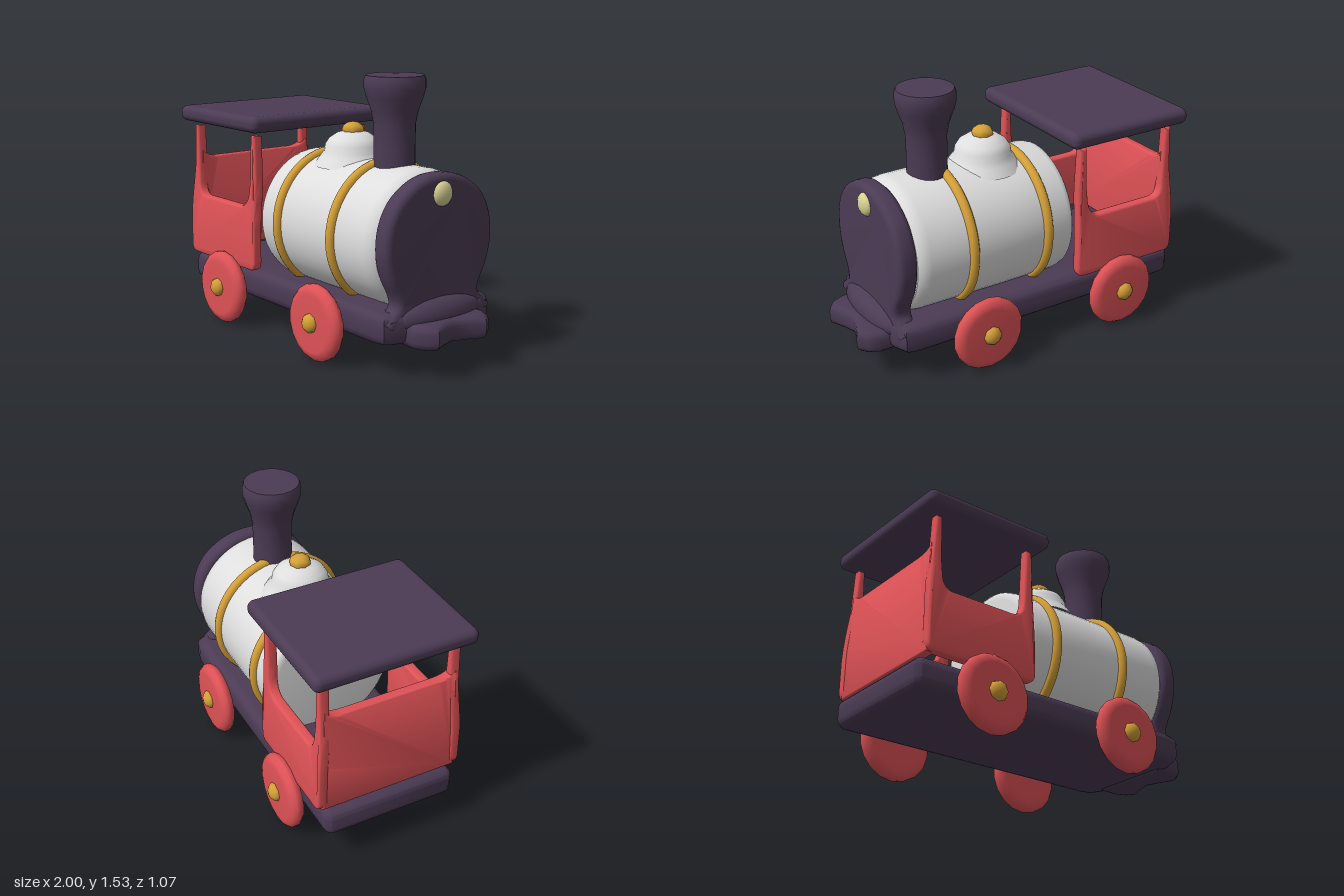
import * as THREE from 'three';
import { toCreasedNormals } from 'three/addons/utils/BufferGeometryUtils.js';
import { RoundedBoxGeometry } from 'three/addons/geometries/RoundedBoxGeometry.js';

const paint = (name, color) => {
  const m = new THREE.MeshStandardMaterial({ color });
  m.name = name;
  return m;
};

// Bevelled slab, centred on z = 0
function slab(shape, depth, bevel) {
  const g = new THREE.ExtrudeGeometry(shape, {
    depth: depth - 2 * bevel, bevelThickness: bevel, bevelSize: bevel,
    bevelOffset: -bevel, bevelSegments: 3, curveSegments: 8,
  });
  g.translate(0, 0, bevel - depth / 2);
  return g;
}

const polygon = (pts) => new THREE.Shape(pts.map(([x, y]) => new THREE.Vector2(x, y)));
const lathe = (pts, sides) =>
  new THREE.LatheGeometry(pts.map(([r, y]) => new THREE.Vector2(r, y)), sides);

export function createModel() {
  const train = new THREE.Group();
  train.name = 'toyTrain';
  const purple = paint('darkPurple', 0x4b3b54);
  const red = paint('red', 0xdf5256);
  const white = paint('white', 0xdedede);
  const gold = paint('gold', 0xd5a038);
  const cream = paint('paleYellow', 0xd8d094);

  const add = (name, geometry, material, x = 0, y = 0, z = 0) => {
    const mesh = new THREE.Mesh(geometry, material);
    mesh.name = name;
    mesh.position.set(x, y, z);
    train.add(mesh);
    return mesh;
  };

  // Base with clipped front corners
  const base = slab(polygon([[-0.99, -0.36], [-0.96, -0.39], [0.72, -0.39], [0.8, -0.37], [0.84, -0.28],
    [0.84, 0.28], [0.8, 0.37], [0.72, 0.39], [-0.96, 0.39], [-0.99, 0.36]]), 0.17, 0.05);
  base.rotateX(-Math.PI / 2);
  add('base', toCreasedNormals(base, 0.8), purple, 0, 0.265, 0);

  // Two-pointed bumper and the swelling that joins it to the front plate
  const bumper = slab(polygon([[0.76, -0.25], [0.89, -0.255], [0.96, -0.225], [1.0, -0.17], [0.96, -0.08],
    [0.935, 0], [0.96, 0.08], [1.0, 0.17], [0.96, 0.225], [0.89, 0.255], [0.76, 0.25]]), 0.13, 0.04);
  bumper.rotateX(-Math.PI / 2);
  add('bumper', toCreasedNormals(bumper, 0.8), purple, 0, 0.23, 0);
  const swelling = new THREE.SphereGeometry(1, 20, 12);
  swelling.scale(0.1, 0.1, 0.3);
  add('bumperRoot', swelling, purple, 0.8, 0.3, 0);

  // Front plate: round above, waisted, flaring into the base
  const half = [[0.37, 0.3], [0.335, 0.33], [0.29, 0.375], [0.295, 0.43], [0.345, 0.53], [0.376, 0.66],
    [0.362, 0.8], [0.3, 0.92], [0.2, 1.0], [0.1, 1.04]];
  const outline = [...half, [0, 1.05], ...half.map(([z, y]) => [-z, y]).reverse()];
  const plateShape = new THREE.Shape();
  plateShape.moveTo(...outline[0]);
  plateShape.splineThru(outline.slice(1).map(([z, y]) => new THREE.Vector2(z, y)));
  const plate = slab(plateShape, 0.115, 0.035);
  plate.rotateY(Math.PI / 2);
  add('frontPlate', toCreasedNormals(plate, 0.8), purple, 0.77, 0, 0);

  // Boiler, closed at both ends
  const boiler = lathe([[0, -0.285], [0.335, -0.285], [0.36, -0.282], [0.378, -0.268], [0.385, -0.24],
    [0.388, 0.1], [0.385, 0.64], [0.378, 0.685], [0.355, 0.71], [0, 0.715]], 48);
  boiler.rotateZ(-Math.PI / 2);
  add('boiler', toCreasedNormals(boiler, 0.7), white, 0, 0.67, 0);

  // Gold bands
  for (const x of [-0.1, 0.38]) {
    const band = new THREE.TorusGeometry(0.387, 0.029, 10, 48);
    band.rotateY(Math.PI / 2);
    add('boilerBand', band, gold, x, 0.67, 0);
  }

  // Steam dome and its knob
  add('steamDome', lathe([[0.22, 1.0], [0.185, 1.05], [0.163, 1.08], [0.157, 1.115], [0.135, 1.15],
    [0.09, 1.18], [0.04, 1.193], [0, 1.195]], 28), white, 0.09, 0, 0);
  const knob = new THREE.SphereGeometry(0.063, 8, 6);
  knob.scale(1, 0.72, 1);
  add('domeKnob', knob, gold, 0.09, 1.198, 0);

  // Chimney
  const chimney = lathe([[0.115, 0.98], [0.113, 1.15], [0.114, 1.27], [0.128, 1.34], [0.155, 1.415],
    [0.167, 1.46], [0.168, 1.505], [0.158, 1.53], [0, 1.535]], 20);
  add('chimney', toCreasedNormals(chimney, 0.8), purple, 0.445, 0, 0);

  // Headlight
  const lamp = new THREE.SphereGeometry(0.067, 16, 12);
  lamp.scale(0.6, 1, 1);
  add('headlight', lamp, cream, 0.822, 0.945, 0);

  // Cab sides: low wall with two tapering posts, leaning inward above the waist
  const side = new THREE.Shape();
  side.moveTo(-0.92, 0.365);
  side.lineTo(-0.32, 0.365);
  side.quadraticCurveTo(-0.283, 0.37, -0.283, 0.42);
  for (const y of [0.6, 0.68, 0.75, 0.82, 0.9]) side.lineTo(-0.283, y);
  side.lineTo(-0.292, 1.15);
  side.lineTo(-0.33, 1.15);
  side.lineTo(-0.342, 0.9);
  side.lineTo(-0.35, 0.82);
  side.quadraticCurveTo(-0.365, 0.73, -0.44, 0.73);
  side.lineTo(-0.81, 0.73);
  side.quadraticCurveTo(-0.865, 0.73, -0.873, 0.8);
  side.lineTo(-0.88, 0.9);
  side.lineTo(-0.886, 1.15);
  side.lineTo(-0.922, 1.15);
  for (const [x, y] of [[-0.935, 0.9], [-0.945, 0.82], [-0.952, 0.75], [-0.957, 0.68], [-0.96, 0.6]]) side.lineTo(x, y);
  side.lineTo(-0.96, 0.42);
  side.quadraticCurveTo(-0.96, 0.37, -0.92, 0.365);
  for (const s of [1, -1]) {
    const wall = slab(side, 0.06, 0.014);
    const p = wall.attributes.position;
    for (let i = 0; i < p.count; i++) {
      const lean = 0.02 * THREE.MathUtils.smoothstep(p.getY(i), 0.55, 0.92);
      p.setZ(i, p.getZ(i) + s * (0.402 - lean));
    }
    add(s > 0 ? 'leftCabSide' : 'rightCabSide', toCreasedNormals(wall, 0.8), red);
  }

  // Cab rear wall, rising into the corner posts
  const rear = new THREE.Shape();
  rear.moveTo(-0.405, 0.365);
  rear.lineTo(0.405, 0.365);
  rear.lineTo(0.405, 0.65);
  rear.lineTo(0.385, 1.0);
  rear.quadraticCurveTo(0.36, 0.96, 0.28, 0.955);
  rear.lineTo(-0.28, 0.955);
  rear.quadraticCurveTo(-0.36, 0.96, -0.385, 1.0);
  rear.lineTo(-0.405, 0.65);
  const rearWall = slab(rear, 0.06, 0.012);
  rearWall.rotateY(Math.PI / 2);
  // lean the top forward to follow the posts
  const rp = rearWall.attributes.position;
  for (let i = 0; i < rp.count; i++) {
    rp.setX(i, rp.getX(i) + 0.025 * THREE.MathUtils.smoothstep(rp.getY(i), 0.55, 1.05));
  }
  add('cabRearWall', toCreasedNormals(rearWall, 0.8), red, -0.928, 0, 0);

  // Roof
  add('roof', new RoundedBoxGeometry(0.795, 0.092, 0.945, 4, 0.04), purple, -0.602, 1.222, 0);

  // Wheels and hubs
  for (const x of [-0.575, 0.335]) {
    for (const s of [1, -1]) {
      const wheel = lathe([[0, -0.045], [0.16, -0.045], [0.195, -0.034], [0.214, -0.012], [0.214, 0.012],
        [0.195, 0.034], [0.16, 0.045], [0, 0.042]], 18);
      wheel.rotateX(Math.PI / 2);
      add('wheel', wheel, red, x, 0.218, s * 0.45);
      const hub = new THREE.SphereGeometry(0.056, 8, 6);
      hub.rotateX(Math.PI / 2);
      hub.scale(1, 1, 0.75);
      add('wheelHub', hub, gold, x, 0.222, s * 0.492);
    }
  }
  return train;
}
